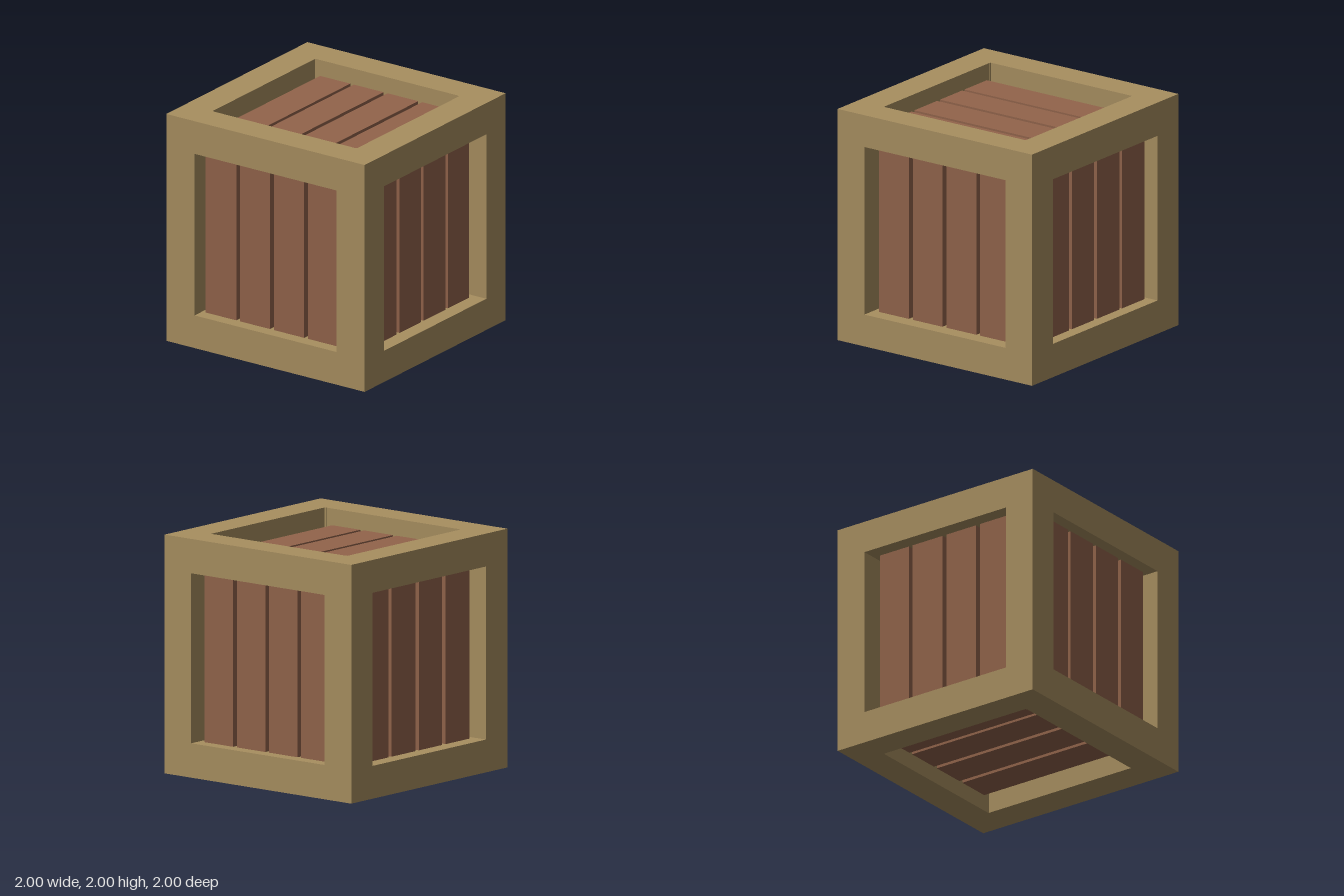
import * as THREE from 'three';

const frameMat = new THREE.MeshStandardMaterial({ color: 0xa88f60 });
const plankMat = new THREE.MeshStandardMaterial({ color: 0x92644b });

// Box given by its min and max corners; y is measured from the crate's centre
function block(parent, name, mat, min, max) {
  const size = max.map((v, i) => v - min[i]);
  const mesh = new THREE.Mesh(new THREE.BoxGeometry(...size), mat);
  mesh.position.set(...max.map((v, i) => (v + min[i]) / 2));
  mesh.name = name;
  parent.add(mesh);
}

// Ordered range for a beam that reaches from an inner distance to the outside
const outer = (sign, inner, out = 1) => (sign > 0 ? [inner, out] : [-out, -inner]);

function span(parent, name, mat, x, y, z) {
  block(parent, name, mat, [x[0], y[0], z[0]], [x[1], y[1], z[1]]);
}

export function createModel() {
  const crate = new THREE.Group();
  crate.name = 'crate';
  const body = new THREE.Group();
  body.name = 'crateBody';
  body.position.y = 1;
  crate.add(body);

  // Frame: four corner posts and four beams along each horizontal axis
  const frame = new THREE.Group();
  frame.name = 'frame';
  body.add(frame);
  for (const a of [-1, 1]) {
    for (const b of [-1, 1]) {
      span(frame, 'cornerPost', frameMat, outer(a, 0.725), [-1, 1], outer(b, 0.715));
      const inner = a < 0 && b > 0 ? 0.71 : 0.728;
      span(frame, 'crossBeam', frameMat, [-0.725, 0.725], outer(a, 0.725), outer(b, inner));
      span(frame, 'sideBeam', frameMat, outer(a, 0.73), outer(b, 0.712), [-0.715, 0.715]);
    }
  }

  // Inner box seen in the gaps between planks
  block(body, 'innerBox', plankMat, [-0.74, -0.735, -0.74], [0.74, 0.735, 0.71]);

  // Four planks on each of the six sides
  const frontRows = [[-0.67, -0.365], [-0.32, -0.02], [0.02, 0.33], [0.365, 0.663]];
  const sideRows = [[-0.68, -0.37], [-0.335, -0.03], [0.01, 0.315], [0.355, 0.66]];
  const topRows = [[-0.68, -0.375], [-0.34, -0.04], [0, 0.31], [0.35, 0.65]];
  const length = [-0.74, 0.74];
  const planks = new THREE.Group();
  planks.name = 'planks';
  body.add(planks);
  for (const s of [-1, 1]) {
    const end = s > 0 ? 'front' : 'back';
    const side = s > 0 ? 'left' : 'right';
    const level = s > 0 ? 'top' : 'bottom';
    for (const r of frontRows) span(planks, end + 'Plank', plankMat, r, length, outer(s, 0.73, 0.87));
    for (const r of sideRows) span(planks, side + 'Plank', plankMat, outer(s, 0.73, 0.893), length, r);
    for (const r of topRows) span(planks, level + 'Plank', plankMat, length, outer(s, 0.73, 0.86), r);
  }
  return crate;
}
